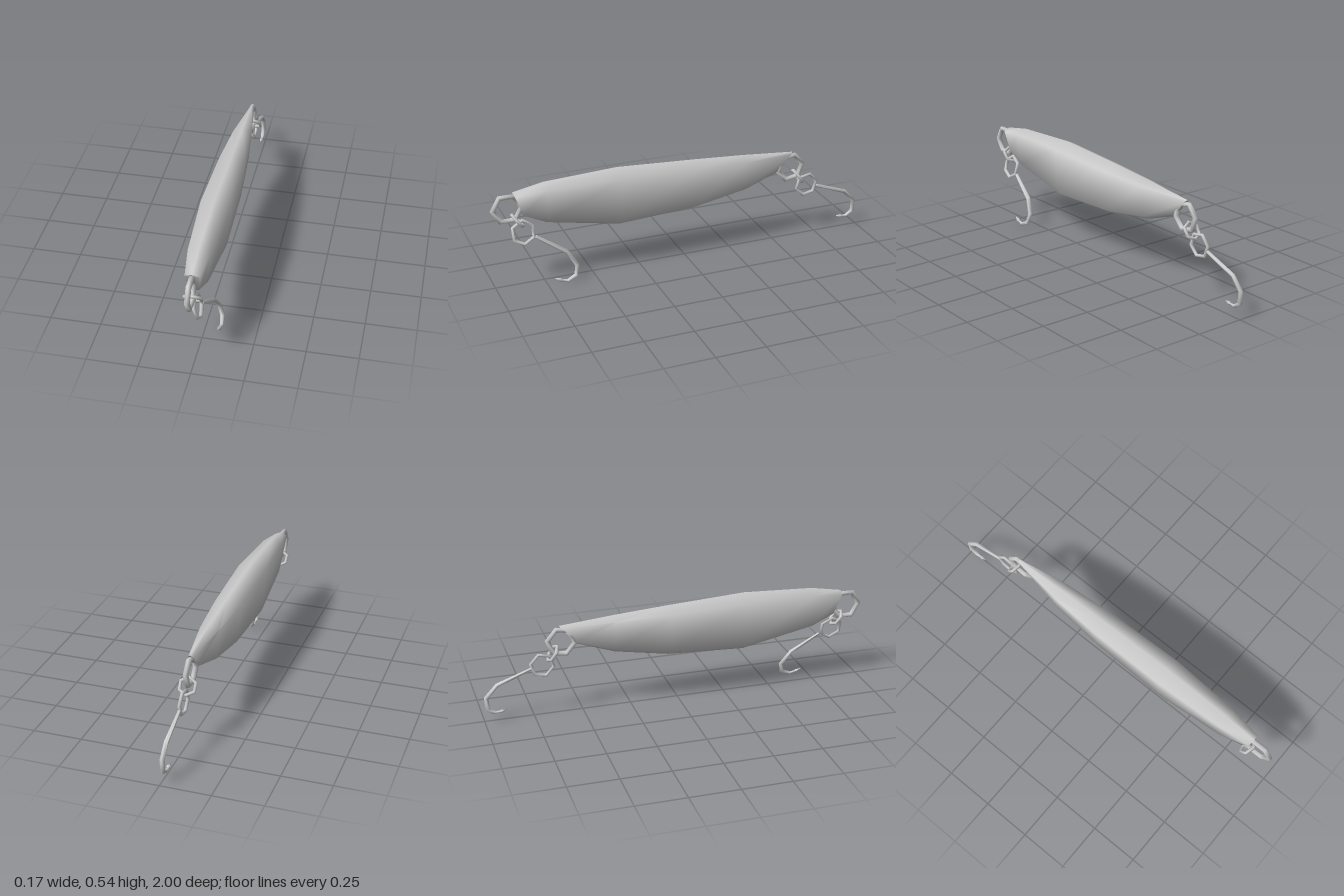
import * as THREE from 'three';
import { toCreasedNormals } from 'three/addons/utils/BufferGeometryUtils.js';

const MID = -0.012; // x of the lure's plane of symmetry
const material = new THREE.MeshStandardMaterial({ color: 0xcccccc });

// Skin a list of equal-length corner loops (ordered right-handed along the path), with end caps
function loft(sections) {
  const n = sections[0].length, pos = [], idx = [];
  sections.forEach(s => s.forEach(p => pos.push(p.x, p.y, p.z)));
  for (let i = 0; i < sections.length - 1; i++) {
    for (let j = 0; j < n; j++) {
      const a = i * n + j, b = i * n + (j + 1) % n;
      idx.push(a, b, a + n, b, b + n, a + n);
    }
  }
  const last = (sections.length - 1) * n;
  for (let j = 1; j < n - 1; j++) {
    idx.push(0, j + 1, j, last, last + j, last + j + 1);
  }
  const g = new THREE.BufferGeometry();
  g.setAttribute('position', new THREE.Float32BufferAttribute(pos, 3));
  g.setIndex(idx);
  return toCreasedNormals(g, 1.3);
}

// Hexagonal hull section: ridge, shoulders, lower sides, keel; ends may slant
function hullSection([zTop, top, zBottom, bottom, half]) {
  const corner = (t, x) => new THREE.Vector3(
    MID + x * half,
    THREE.MathUtils.lerp(top, bottom, t),
    THREE.MathUtils.lerp(zTop, zBottom, t));
  return [corner(0, 0), corner(0.11, 1), corner(0.9, 0.7), corner(1, 0), corner(0.9, -0.7), corner(0.11, -1)];
}

// Round wire through [z, y, radius] points lying in the x = 0 plane
function wire(points, sides = 6) {
  const side = new THREE.Vector3(1, 0, 0);
  const path = points.map(([z, y]) => new THREE.Vector3(0, y, z));
  return loft(path.map((p, i) => {
    const before = path[Math.max(i - 1, 0)], after = path[Math.min(i + 1, path.length - 1)];
    const up = side.clone().cross(after.clone().sub(before).normalize());
    return Array.from({ length: sides }, (_, k) => {
      const a = k / sides * Math.PI * 2, r = points[i][2];
      return p.clone().addScaledVector(up, r * Math.cos(a)).addScaledVector(side, r * Math.sin(a));
    });
  }));
}

// Six-cornered ring standing in the side plane
function sideRing(z, y, radius, thickness, phase) {
  return new THREE.TorusGeometry(radius, thickness, 6, 6)
    .rotateZ(THREE.MathUtils.degToRad(phase)).rotateY(-Math.PI / 2).translate(0, y, z);
}

// Six-cornered ring lying across the body, leaning back
function crossRing(z, y, lean) {
  return new THREE.TorusGeometry(0.043, 0.009, 6, 6)
    .rotateZ(Math.PI / 6).rotateX(lean).translate(0, y, z);
}

export function createModel() {
  const lure = new THREE.Group();
  lure.name = 'fishingLure';
  const add = (name, geometry, parent = lure) => {
    const mesh = new THREE.Mesh(geometry, material);
    mesh.name = name;
    parent.add(mesh);
    return mesh;
  };

  // Body, nose to tail: zTop, top, zBottom, bottom, half width
  add('body', loft([
    [0.885, 0.497, 0.835, 0.365, 0.034],
    [0.72, 0.527, 0.72, 0.31, 0.055],
    [0.35, 0.545, 0.35, 0.235, 0.075],
    [-0.05, 0.522, -0.05, 0.255, 0.068],
    [-0.33, 0.503, -0.33, 0.305, 0.049],
    [-0.61, 0.478, -0.52, 0.372, 0.012],
  ].map(hullSection)));

  // Rings set into the nose and tail, and the links hanging from them
  const rings = {
    noseRing: sideRing(0.915, 0.414, 0.072, 0.014, 0),
    tailRing: sideRing(-0.6, 0.392, 0.07, 0.014, -10),
    noseLink: crossRing(0.867, 0.345, 0.67),
    tailLink: crossRing(-0.645, 0.335, 0.6),
  };
  for (const [name, geometry] of Object.entries(rings)) {
    add(name, geometry).position.x = MID;
  }

  // Hooks: eye, shank, bend and barbed point; sway pushes the lower end to the left
  const hooks = [
    {
      name: 'frontHook', eye: [0.845, 0.283, 0.058, 0.009, 30], sway: 0.265,
      points: [[0.785, 0.254, 0.008], [0.64, 0.157, 0.011], [0.594, 0.085, 0.012], [0.604, 0.035, 0.012],
        [0.65, 0.014, 0.009], [0.682, 0.022, 0.005], [0.687, 0.024, 0.01], [0.715, 0.036, 0.001]],
    },
    {
      name: 'rearHook', eye: [-0.7, 0.278, 0.059, 0.009, -12], sway: 0,
      points: [[-0.757, 0.264, 0.008], [-0.93, 0.2, 0.011], [-0.987, 0.138, 0.012], [-0.983, 0.075, 0.012],
        [-0.948, 0.053, 0.009], [-0.92, 0.055, 0.005], [-0.915, 0.056, 0.01], [-0.888, 0.062, 0.001]],
    },
  ];
  for (const { name, eye, sway, points } of hooks) {
    const hook = new THREE.Group();
    hook.name = name;
    const lean = new THREE.Matrix4().set(
      1, -sway, 0, sway * 0.34 + MID,
      0, 1, 0, 0,
      0, 0, 1, 0,
      0, 0, 0, 1);
    add('hookEye', sideRing(...eye).applyMatrix4(lean), hook);
    add('hookWire', wire(points).applyMatrix4(lean), hook);
    lure.add(hook);
  }
  return lure;
}
